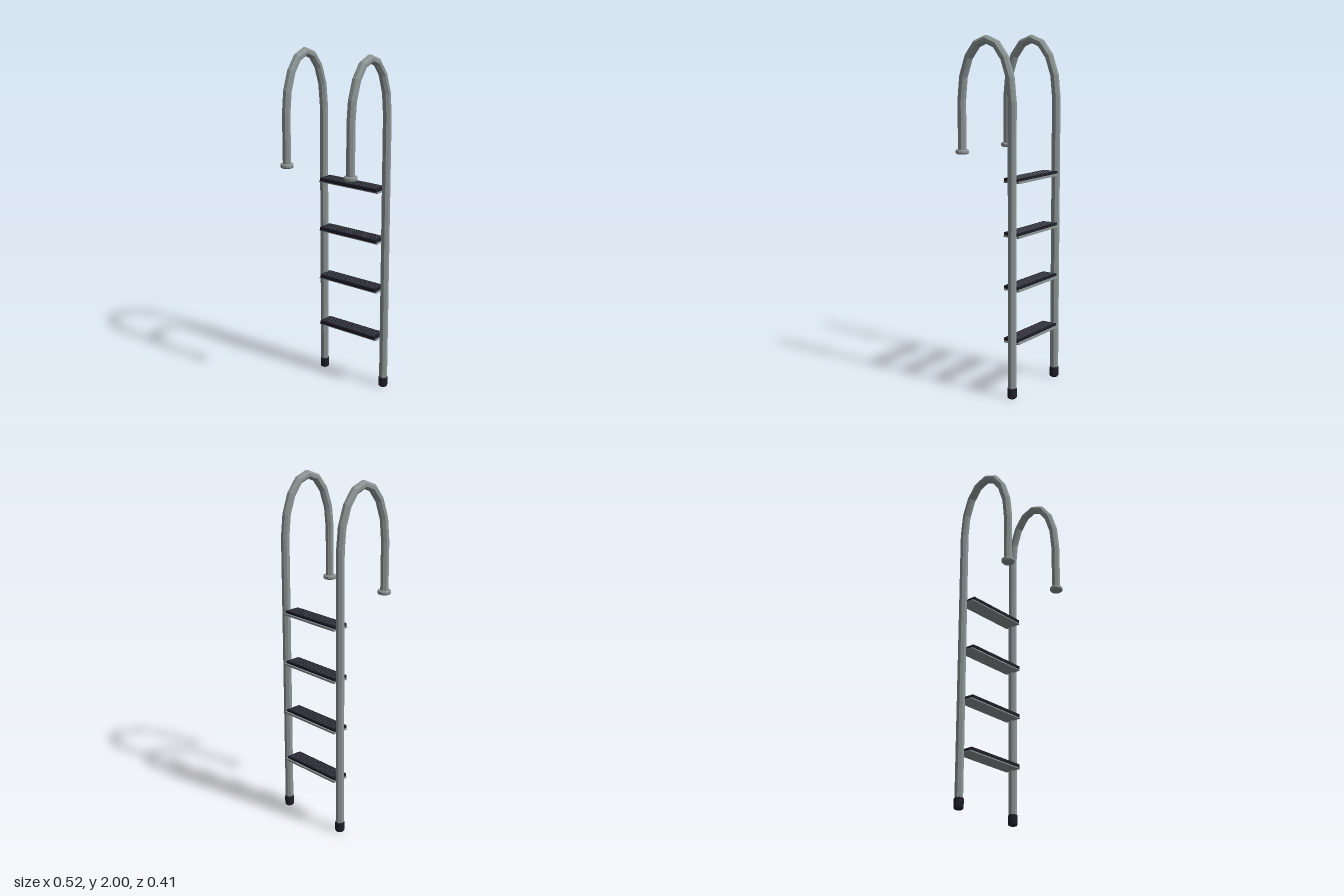
import * as THREE from 'three';

const metal = new THREE.MeshStandardMaterial({ color: 0x8c9595 });
metal.name = 'brushed steel';
const black = new THREE.MeshStandardMaterial({ color: 0x1e1e28 });
black.name = 'black plastic';
const slate = new THREE.MeshStandardMaterial({ color: 0x5c5c68 });
slate.name = 'grip grey';

const POST_X = 0.221, BACK_Z = -0.169, FRONT_Z = 0.166;
const SPRING_Y = 1.65, TOP_Y = 1.976, END_Y = 1.36;

// Flat normals for a faceted surface
function faceted(geometry) {
  const flat = geometry.index ? geometry.toNonIndexed() : geometry;
  flat.computeVertexNormals();
  return flat;
}

function add(parent, name, geometry, material, x = 0, y = 0, z = 0) {
  const mesh = new THREE.Mesh(geometry, material);
  mesh.name = name;
  mesh.position.set(x, y, z);
  parent.add(mesh);
  return mesh;
}

// Sweeps a regular polygon along a path of [z, y] points with mitred joints
function sweptRail(path, radius, sides) {
  const pos = [], idx = [];
  const pts = path.map(([z, y]) => new THREE.Vector2(z, y));
  pts.forEach((p, i) => {
    const before = pts[Math.max(i - 1, 0)], after = pts[Math.min(i + 1, pts.length - 1)];
    const t = after.clone().sub(before).normalize();
    for (let k = 0; k < sides; k++) {
      const a = ((k + 0.5) / sides) * Math.PI * 2;
      const out = Math.cos(a) * radius;
      pos.push(Math.sin(a) * radius, p.y + t.x * out, p.x - t.y * out);
    }
  });
  for (let i = 0; i < pts.length - 1; i++) {
    for (let k = 0; k < sides; k++) {
      const a = i * sides + k, b = i * sides + (k + 1) % sides;
      idx.push(a, a + sides, b, b, a + sides, b + sides);
    }
  }
  const g = new THREE.BufferGeometry();
  g.setAttribute('position', new THREE.Float32BufferAttribute(pos, 3));
  g.setIndex(idx);
  return faceted(g);
}

// Back post, arched handle and short front leg in one path
function railPath() {
  const path = [[BACK_Z, 0.02]];
  const mid = (BACK_Z + FRONT_Z) / 2, half = (FRONT_Z - BACK_Z) / 2;
  for (let i = 0; i <= 8; i++) {
    const a = Math.PI - (i / 8) * Math.PI;
    path.push([mid + Math.cos(a) * half, SPRING_Y + Math.sin(a) * (TOP_Y - SPRING_Y)]);
  }
  path.push([FRONT_Z, END_Y]);
  return path;
}

function makeSide(sign) {
  const side = new THREE.Group();
  side.name = sign > 0 ? 'leftRail' : 'rightRail';
  side.position.x = sign * POST_X;
  add(side, 'handrail', sweptRail(railPath(), 0.0245, 8), metal);

  // Mounting flange with softened rims
  const profile = [[0, -0.012], [0.033, -0.012], [0.038, -0.006], [0.038, 0.006], [0.033, 0.012], [0, 0.012]]
    .map(([r, y]) => new THREE.Vector2(r, y));
  add(side, 'flange', faceted(new THREE.LatheGeometry(profile, 12)), metal, 0, 1.362, FRONT_Z);

  // Rubber foot with a bevelled base
  const foot = [[0, 0], [0.022, 0], [0.027, 0.008], [0.027, 0.056], [0.024, 0.061], [0, 0.061]]
    .map(([r, y]) => new THREE.Vector2(r, y));
  add(side, 'foot', faceted(new THREE.LatheGeometry(foot, 10)), black, 0, 0, BACK_Z);
  return side;
}

function makeStep(y) {
  const step = new THREE.Group();
  step.name = 'step';
  step.position.y = y;
  // Steel tray under the tread, with a lip at the back
  add(step, 'tray', new THREE.BoxGeometry(0.416, 0.007, 0.1), metal, 0, -0.021, -0.154);
  add(step, 'trayLip', new THREE.BoxGeometry(0.416, 0.011, 0.01), metal, 0, -0.019, -0.199);
  add(step, 'tread', new THREE.BoxGeometry(0.4, 0.018, 0.093), black, 0, -0.009, -0.1475);
  // Grip lines
  for (let i = 0; i < 5; i++) {
    add(step, 'gripLine', new THREE.BoxGeometry(0.378, 0.002, 0.0025), slate, 0, 0.0006, -0.119 - i * 0.0145);
  }
  return step;
}

export function createModel() {
  const model = new THREE.Group();
  model.name = 'poolLadder';
  model.add(makeSide(1), makeSide(-1));
  for (let i = 0; i < 4; i++) model.add(makeStep(0.334 + i * 0.3));
  return model;
}
